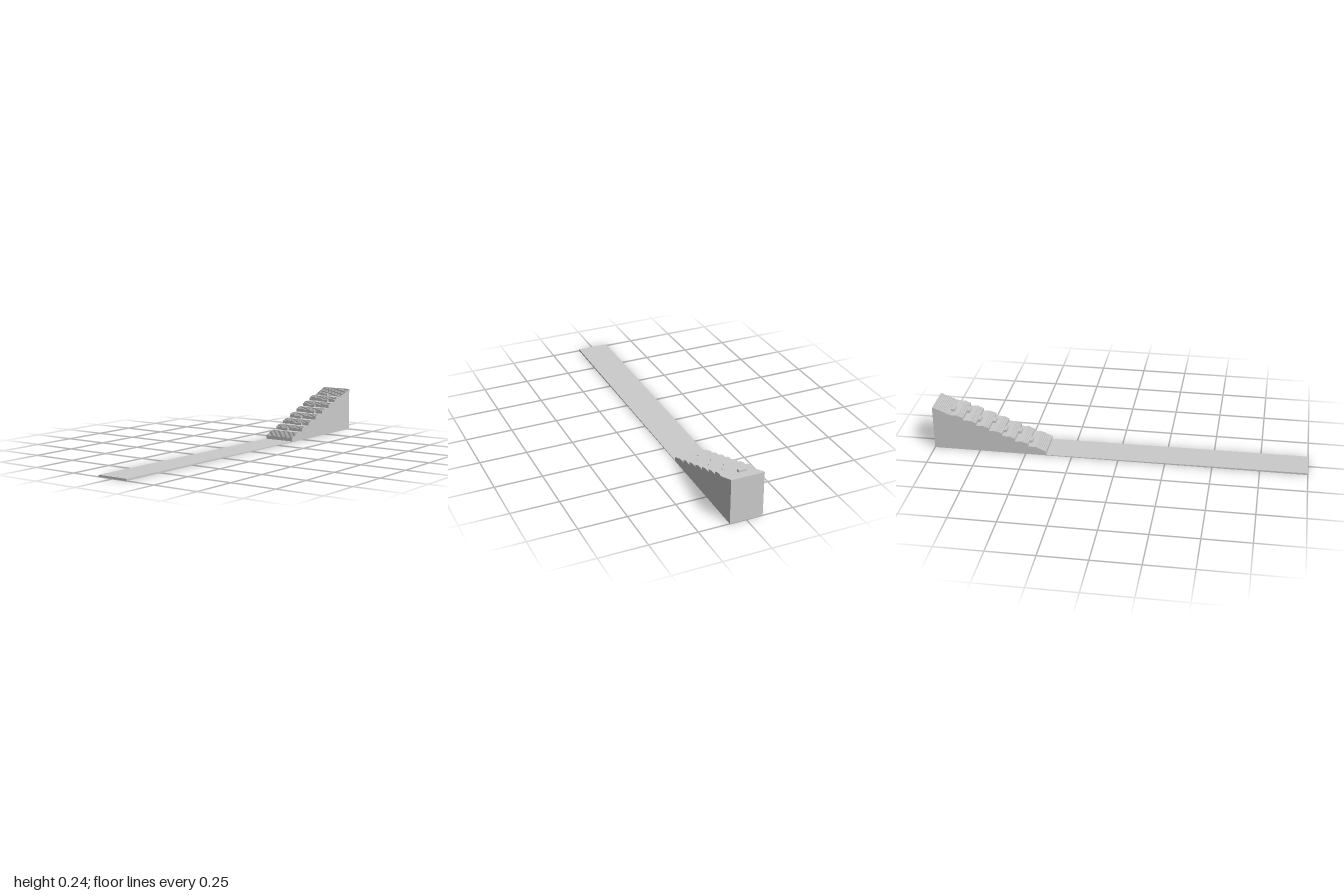
import * as THREE from 'three';

const WIDTH = 0.174;
const PITCH = 0.07;      // distance between ledges
const RISE = 0.0262;     // height gained per ledge
const LEDGES = 7;
const material = new THREE.MeshStandardMaterial({ color: 0xcccccc, flatShading: true });

// Extrude a side profile of [z, y] points across the full width.
function extrudeProfile(name, points) {
  const shape = new THREE.Shape(points.map(([z, y]) => new THREE.Vector2(z, y)));
  const geometry = new THREE.ExtrudeGeometry(shape, { depth: WIDTH, bevelEnabled: false });
  geometry.translate(0, 0, -WIDTH / 2);
  geometry.rotateY(-Math.PI / 2);
  const mesh = new THREE.Mesh(geometry, material);
  mesh.name = name;
  return mesh;
}

// Append a run of fine stair steps ending at (z1, y1).
function addSteps(points, z1, y1, count) {
  const [z0, y0] = points[points.length - 1];
  const dz = (z1 - z0) / count, dy = (y1 - y0) / count;
  for (let i = 0; i < count; i++) {
    points.push([z0 + dz * i, y0 + dy * (i + 1)], [z0 + dz * (i + 1), y0 + dy * (i + 1)]);
  }
}

export function createModel() {
  const group = new THREE.Group();
  group.name = 'steppedRamp';

  // Long runway, thinning gently towards the ramp
  group.add(extrudeProfile('runway', [[1, 0], [1, 0.01], [-0.387, 0.004], [-0.387, 0]]));

  // Ramp: fine steps, flat ledge, tall riser, repeated
  const profile = [[-0.387, 0], [-0.387, 0.021]];
  for (let i = 0; i < LEDGES; i++) {
    const riserZ = -0.485 - PITCH * i;
    const ledgeY = 0.047 + RISE * i;
    addSteps(profile, riserZ + PITCH / 2, ledgeY, i === 0 ? 7 : 4);
    profile.push([riserZ, ledgeY]);
    if (i < LEDGES - 1) profile.push([riserZ, ledgeY + 0.0133]);

    // Block on the ledge, alternating sides
    const block = new THREE.Mesh(new THREE.BoxGeometry(0.044, 0.0135, 0.018), material);
    block.position.set(i % 2 ? 0.022 : -0.022, ledgeY + 0.00675, riserZ + 0.006);
    block.name = 'ledgeBlock' + (i + 1);
    group.add(block);
  }
  addSteps(profile, -1, 0.241, 11);
  profile.push([-1, 0]);
  group.add(extrudeProfile('ramp', profile));

  return group;
}
